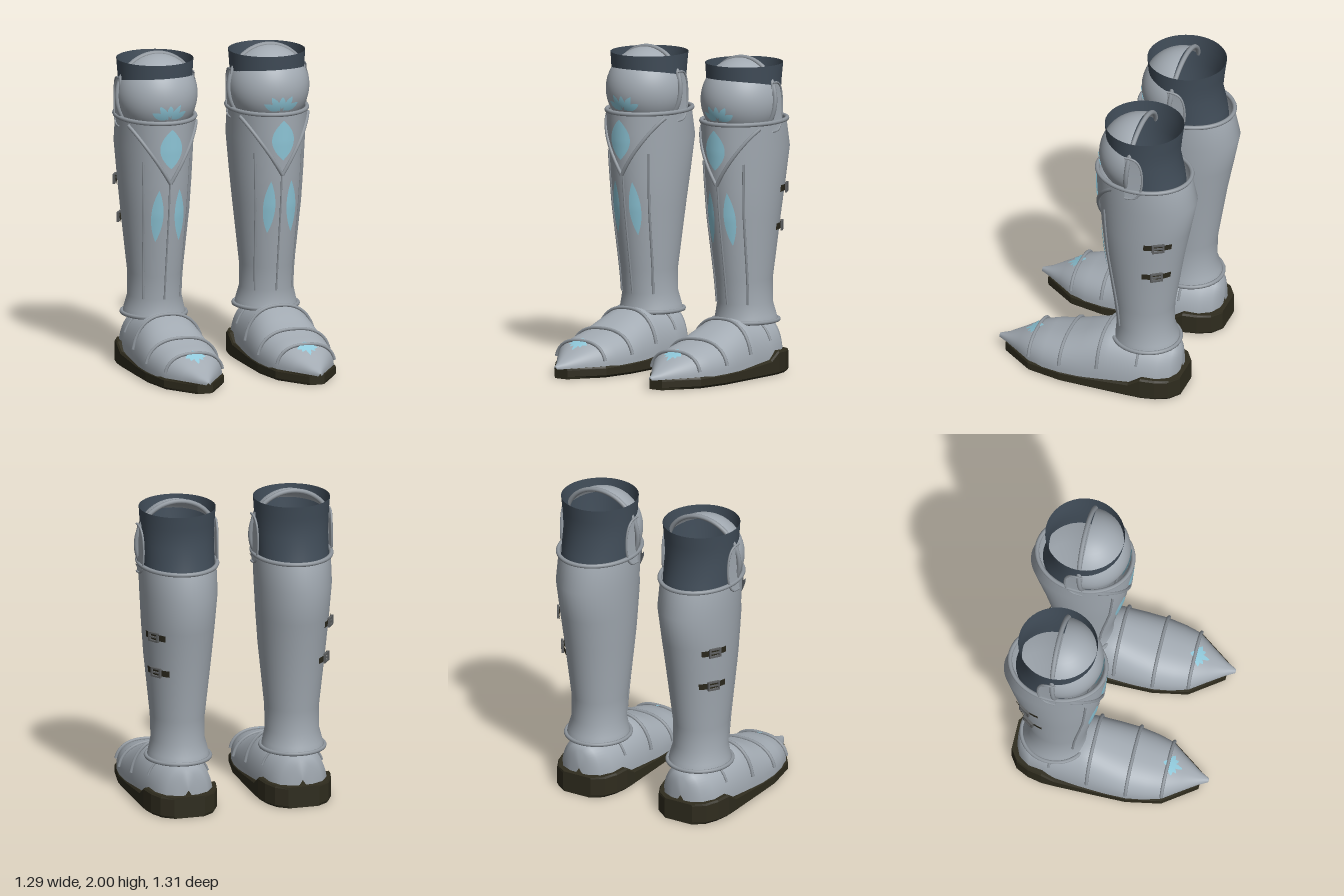
import * as THREE from 'three';

const V = (x, y, z) => new THREE.Vector3(x, y, z);
const mat = (name, color, side = THREE.FrontSide) => {
  const m = new THREE.MeshStandardMaterial({ color, side });
  m.name = name;
  return m;
};

// Stations: shaft and cuff are [y, halfWidth, frontZ, backZ]; foot and sole are [z, halfWidth, topY]
const SHAFT = [[0.33, 0.195, -0.115, -0.53], [0.37, 0.188, -0.125, -0.52], [0.45, 0.168, -0.13, -0.497],
  [0.6, 0.17, -0.11, -0.5], [1.0, 0.21, -0.05, -0.565], [1.2, 0.225, -0.03, -0.605],
  [1.42, 0.238, -0.012, -0.648], [1.6, 0.24, -0.005, -0.605]];
const CUFF = [[1.54, 0.225, -0.1, -0.57], [1.62, 0.226, -0.09, -0.56], [1.75, 0.229, -0.075, -0.53],
  [1.87, 0.234, -0.062, -0.543], [1.96, 0.24, -0.055, -0.555]];
const FOOT = [[-0.55, 0.07, 0.29], [-0.52, 0.14, 0.32], [-0.45, 0.19, 0.335], [-0.32, 0.212, 0.34],
  [-0.13, 0.23, 0.365], [-0.07, 0.232, 0.36], [0.06, 0.236, 0.31], [0.18, 0.235, 0.262],
  [0.3, 0.215, 0.238], [0.4, 0.187, 0.21], [0.5, 0.115, 0.155], [0.6, 0.045, 0.105], [0.66, 0.012, 0.088]];
const SOLE = [[-0.58, 0.1, 0.135], [-0.53, 0.175, 0.14], [-0.45, 0.215, 0.145], [-0.36, 0.235, 0.15],
  [-0.28, 0.238, 0.1], [0, 0.24, 0.08], [0.18, 0.24, 0.075], [0.4, 0.2, 0.07], [0.605, 0.05, 0.065]];

function sample(table, k) {
  let i = 0;
  while (i < table.length - 2 && k > table[i + 1][0]) i++;
  const [a, b] = [table[i], table[i + 1]];
  const t = THREE.MathUtils.clamp((k - a[0]) / (b[0] - a[0]), 0, 1);
  return a.map((v, n) => v + (b[n] - v) * t);
}

// Point on the leg tube at angle a (0 = front), lifted by off
function ringPoint(table, a, y, off = 0) {
  const [, w, f, b] = sample(table, y);
  return V((w + off) * Math.sin(a), y, (f + b) / 2 + ((f - b) / 2 + off) * Math.cos(a));
}
const shaftAt = (x, y, off) => ringPoint(SHAFT, Math.asin(THREE.MathUtils.clamp(x / sample(SHAFT, y)[1], -1, 1)), y, off);

// Point on the foot arch, t from 0 (left edge) to PI (right edge)
function footPoint(z, t, off = 0) {
  const [, w, h] = sample(FOOT, z), c = Math.cos(t);
  return V((w + off) * Math.sign(c) * Math.abs(c) ** 0.8, 0.065 + (h - 0.065 + off) * Math.sin(t) ** 0.85, z);
}
const footTop = (x, z) => {
  const c = Math.min(1, Math.abs(x) / sample(FOOT, z)[1]) ** 1.25;
  return V(x, footPoint(z, Math.acos(c)).y + 0.008, z);
};

// Knee dome surface
const DOME = { y: 1.73, z: -0.28, rx: 0.255, ry: 0.26, rz: 0.262 };
const domeAt = (x, y) => V(x, y, DOME.z + 0.008 +
  DOME.rz * Math.sqrt(Math.max(0, 1 - (x / DOME.rx) ** 2 - ((y - DOME.y) / DOME.ry) ** 2)));

// Skin over cross-sections
function loft(rings, closed, flat = false) {
  const n = rings[0].length, idx = [];
  for (let i = 0; i < rings.length - 1; i++)
    for (let j = 0; j < (closed ? n : n - 1); j++) {
      const k = (j + 1) % n, a = i * n + j, b = i * n + k, c = b + n, d = a + n;
      idx.push(a, b, c, a, c, d);
    }
  let g = new THREE.BufferGeometry().setFromPoints(rings.flat());
  g.setIndex(idx);
  if (flat) g = g.toNonIndexed();
  g.computeVertexNormals();
  return g;
}
const steps = (n, f) => Array.from({ length: n + 1 }, (_, i) => f(i / n));
const tubeLoft = (table) => loft(table.map(([y]) => steps(47, (u) => ringPoint(table, u * Math.PI * 2 * 47 / 48, y))), true);
const tube = (pts, r, closed = false) =>
  new THREE.TubeGeometry(new THREE.CatmullRomCurve3(pts, closed), closed ? 64 : 28, r, 8, closed);

// Pointed oval laid on a surface; place(x, y) maps the flat outline to 3D
function petal(cx, cy, hw, hh, turn, place) {
  const g = new THREE.PlaneGeometry(2, 2, 6, 14), p = g.attributes.position;
  for (let i = 0; i < p.count; i++) {
    const v = p.getY(i), x = p.getX(i) * hw * (1 - v * v), y = v * hh;
    const q = place(cx + x * Math.cos(turn) - y * Math.sin(turn), cy + x * Math.sin(turn) + y * Math.cos(turn));
    p.setXYZ(i, q.x, q.y, q.z);
  }
  g.computeVertexNormals();
  return g;
}

export function createModel() {
  const steel = mat('steel', 0xa3abb3, THREE.DoubleSide);
  const trim = mat('trim steel', 0x8f969d);
  const cloth = mat('dark lining', 0x414d59, THREE.DoubleSide);
  const leather = mat('sole leather', 0x2f2c1e);
  const strapMat = mat('strap leather', 0x2d2a1e, THREE.DoubleSide);
  const buckleMat = mat('buckle metal', 0x5d5f60);
  const inlay = mat('blue inlay', 0x8fc8da, THREE.DoubleSide);

  function boot(side) {
    const g = new THREE.Group();
    const add = (name, geo, m, parent = g) => {
      const mesh = new THREE.Mesh(geo, m);
      mesh.name = name;
      parent.add(mesh);
      return mesh;
    };

    // Leg
    add('shaft', tubeLoft(SHAFT), steel);
    add('cuff', tubeLoft(CUFF), cloth);
    const hoop = (y, off) => steps(39, (u) => ringPoint(SHAFT, u * Math.PI * 2 * 39 / 40, y, off));
    add('shaftTopTrim', tube(hoop(1.6, 0.004), 0.014, true), trim);
    add('ankleTrim', tube(hoop(0.335, 0.006), 0.013, true), trim);

    // V-shaped collar plate and its edging
    const vy = (a) => 1.21 + 0.36 * Math.abs(Math.sin(a)) / Math.sin(1.12);
    add('collarPlate', loft(steps(6, (v) => steps(24, (u) => {
      const a = (u * 2 - 1) * 1.12;
      return ringPoint(SHAFT, a, vy(a) + (1.6 - vy(a)) * v, 0.008);
    })), false), steel);
    for (const s of [-1, 1]) {
      add('collarEdge', tube(steps(8, (u) => ringPoint(SHAFT, s * u * 1.12, vy(u * 1.12), 0.01)), 0.012), trim);
      add('shaftRidge', tube(steps(8, (u) => shaftAt(s * (0.12 + 0.035 * u), 0.45 + 0.9 * u, 0.002)), 0.008), trim);
      add('shaftInlay', petal(s * 0.07, 1.0, 0.034, 0.17, s * 0.03, (x, y) => shaftAt(x, y, 0.007)), inlay);
    }
    add('frontCrease', tube(steps(8, (u) => shaftAt(0, 0.45 + 0.76 * u, 0)), 0.006), trim);
    add('collarInlay', petal(0, 1.435, 0.068, 0.128, 0, (x, y) => shaftAt(x, y, 0.016)), inlay);

    // Knee dome with rim and side wings
    const dome = new THREE.SphereGeometry(1, 40, 24, 0, Math.PI);
    dome.scale(DOME.rx, DOME.ry, DOME.rz);
    add('kneeDome', dome, steel).position.set(0, DOME.y, DOME.z);
    const rim = add('kneeRim', new THREE.TorusGeometry(0.26, 0.015, 10, 64), trim);
    rim.position.set(0, DOME.y, DOME.z);
    rim.rotation.x = -0.09;
    for (const s of [-1, 1]) {
      const edge = steps(16, (u) => {
        const t = (u - 0.5) * Math.PI, c = Math.cos(t);
        return V(s * (0.252 - 0.012 * c), 1.7 + 0.155 * Math.sin(t), -0.265 - 0.115 * Math.sqrt(c < 0 ? 0 : c));
      });
      const root = edge.map((p) => V(s * 0.25, p.y, -0.265));
      add('kneeWing', loft([root, edge], false), steel);
      add('kneeWingEdge', tube(edge, 0.007), trim);
    }
    // Leaf spray at the foot of the dome
    for (const k of [-2, -1, 0, 1, 2]) {
      const t = -k * 0.55, len = k === 0 ? 0.04 : Math.abs(k) === 1 ? 0.055 : 0.05;
      add('kneeLeaf', petal(-Math.sin(t) * 0.075, 1.615 + Math.cos(t) * 0.055, 0.02, len, t, domeAt), inlay);
    }

    // Foot with raised bands
    const rings = FOOT.map(([z]) => steps(28, (u) => footPoint(z, u * Math.PI)));
    const cap = (ring, y, z) => ring.map(() => V(0, y, z));
    add('foot', loft([cap(rings[0], 0.17, -0.555), ...rings, cap(rings[0], 0.08, 0.662)], false), steel);
    for (const [z, t0] of [[-0.07, 0.26], [0.18, 0.22], [0.4, 0.2]])
      add('footBand', tube(steps(20, (u) => footPoint(z, t0 + u * (Math.PI - 2 * t0), 0.006)), 0.011), trim);
    for (const s of [0, 1])
      add('heelBand', tube(steps(5, (u) => {
        const t = 0.5 + u * 0.6;
        return footPoint(-0.32, s ? Math.PI - t : t, 0.004);
      }), 0.008), trim);
    // Toe leaf spray
    for (const k of [-2, -1, 0, 1, 2]) {
      const t = Math.PI - k * 0.62, len = k === 0 ? 0.05 : 0.036;
      add('toeLeaf', petal(-Math.sin(t) * 0.036, -0.415 + Math.cos(t) * (k === 0 ? 0.028 : 0.02), 0.016, len, t,
        (x, y) => footTop(x, -y)), inlay);
    }
    add('toeLeafStem', petal(0, -0.395, 0.018, 0.025, 0, (x, y) => footTop(x, -y)), inlay);

    // Sole with raised heel counter
    const soleRings = SOLE.map(([z, w, h]) => [[0.93, 0], [1, 0.015], [1, h - 0.012], [0.96, h],
      [-0.96, h], [-1, h - 0.012], [-1, 0.015], [-0.93, 0]].map(([k, y]) => V(w * k, y, z)));
    add('sole', loft([cap(soleRings[0], 0.06, -0.58), ...soleRings, cap(soleRings[0], 0.04, 0.605)], true, true), leather);

    // Outer straps and buckles
    for (const [y, z] of [[1.17, -0.46], [0.93, -0.44]]) {
      const [, , f, b] = sample(SHAFT, y);
      const angle = (zz) => side * Math.acos((zz - (f + b) / 2) / ((f - b) / 2));
      add('strap', loft([-0.021, 0.021].map((h) => steps(10, (u) =>
        ringPoint(SHAFT, angle(z + 0.08 - 0.155 * u), y + h, 0.01))), false), strapMat);
      const buckle = new THREE.Group();
      buckle.name = 'buckle';
      const a = angle(z - 0.005);
      buckle.position.copy(ringPoint(SHAFT, a, y, 0.017));
      buckle.rotation.y = a;
      for (const s of [-1, 1]) {
        add('buckleBar', new THREE.BoxGeometry(0.075, 0.01, 0.014), buckleMat, buckle).position.y = s * 0.025;
        add('bucklePost', new THREE.BoxGeometry(0.012, 0.06, 0.014), buckleMat, buckle).position.x = s * 0.034;
      }
      add('bucklePin', new THREE.BoxGeometry(0.07, 0.008, 0.012), buckleMat, buckle);
      g.add(buckle);
    }

    g.position.x = side * 0.372;
    return g;
  }

  const model = new THREE.Group();
  model.name = 'armouredBoots';
  for (const side of [1, -1]) {
    const b = boot(side);
    b.name = side > 0 ? 'leftBoot' : 'rightBoot';
    model.add(b);
  }
  return model;
}
